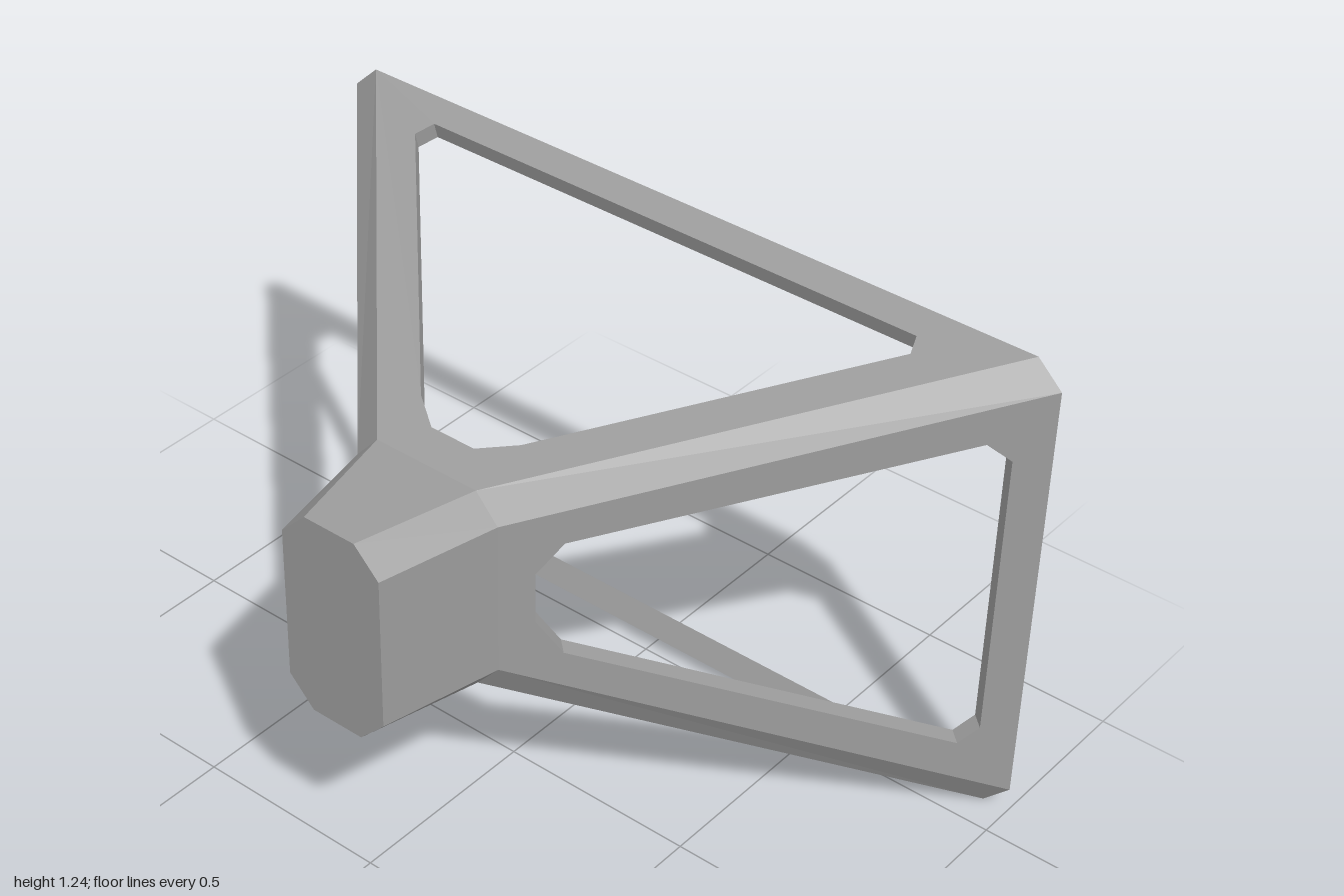
import * as THREE from 'three';

const BACK = -0.585, MID = 0.285, FRONT = 0.585;
const lerpZ = (back, mid, z) => back + (mid - back) * (z - BACK) / (MID - BACK);

// Chamfered rectangle, counter-clockwise seen from the front
const ring = (z, w, c, bottom, lo, hi, top) =>
  [[w, lo], [w, hi], [c, top], [-c, top], [-w, hi], [-w, lo], [-c, bottom], [c, bottom]]
    .map(([x, y]) => new THREE.Vector3(x, y, z));

const backRing = ring(BACK, 1, 0.935, 0, 0.066, 1.178, 1.24);
const midRing = ring(MID, 0.2, 0.14, 0.475, 0.544, 0.933, 1);
const frontRing = ring(FRONT, 0.137, 0.07, 0.475, 0.544, 0.933, 1);

function fromTriangles(points) {
  const g = new THREE.BufferGeometry().setFromPoints(points);
  g.computeVertexNormals();
  return g;
}
const quad = (a, b, c, d) => [a, b, c, a, c, d];

export function createModel() {
  const model = new THREE.Group();
  const material = new THREE.MeshStandardMaterial({
    color: 0x9c9c9c, flatShading: true, side: THREE.DoubleSide,
  });
  const add = (name, geometry, parent = model) => {
    const mesh = new THREE.Mesh(geometry, material);
    mesh.name = name;
    parent.add(mesh);
  };

  // Sloping panel with a window and an inward lip around the window
  function panel(name, outline, hole, place, flip, inward, depth) {
    const group = new THREE.Group();
    group.name = name;
    const shape = new THREE.Shape(outline.map(p => new THREE.Vector2(...p)));
    shape.holes.push(new THREE.Path(hole.map(p => new THREE.Vector2(...p))));
    const flat = new THREE.ShapeGeometry(shape).toNonIndexed();
    const pos = flat.attributes.position;
    const tris = [];
    for (let i = 0; i < pos.count; i += 3) {
      const t = [0, 1, 2].map(k => place(pos.getX(i + k), pos.getY(i + k)));
      tris.push(...(flip ? t.reverse() : t));
    }
    add(name + 'Frame', fromTriangles(tris), group);

    const offset = inward.clone().normalize().multiplyScalar(depth);
    const rim = hole.map(p => place(...p));
    const lip = rim.flatMap((p, i) => {
      const q = rim[(i + 1) % rim.length];
      const corners = [p, q, q.clone().add(offset), p.clone().add(offset)];
      return quad(...(flip ? corners.reverse() : corners));
    });
    add(name + 'WindowLip', fromTriangles(lip), group);
    model.add(group);
  }

  // Side panels, drawn in (z, y)
  const sideOutline = [[BACK, 0.066], [MID, 0.544], [MID, 0.933], [BACK, 1.178]];
  const sideHole = [[-0.52, 0.264], [-0.52, 1.008], [-0.476, 1.057], [0.18, 0.877],
    [0.226, 0.8], [0.226, 0.67], [0.18, 0.578], [-0.484, 0.223]];
  for (const s of [1, -1]) {
    panel(s > 0 ? 'leftPanel' : 'rightPanel', sideOutline, sideHole,
      (z, y) => new THREE.Vector3(s * lerpZ(1, 0.2, z), y, z), s > 0,
      new THREE.Vector3(-s * 0.87, 0, -0.8), 0.046);
  }

  // Top and bottom panels, drawn in (x, z)
  const flatOutline = [[-0.935, BACK], [0.935, BACK], [0.14, MID], [-0.14, MID]];
  const halfHole = zFront => [[0.06, zFront], [0.142, zFront - 0.058], [0.7, -0.463], [0.682, -0.51]];
  const flatHole = zFront => {
    const half = halfHole(zFront);
    return [...half, ...half.map(([x, z]) => [-x, z]).reverse()];
  };
  panel('topPanel', flatOutline, flatHole(0.2),
    (x, z) => new THREE.Vector3(x, lerpZ(1.24, 1, z), z), true,
    new THREE.Vector3(0, -0.87, -0.24), 0.042);
  panel('bottomPanel', flatOutline, flatHole(0.21),
    (x, z) => new THREE.Vector3(x, lerpZ(0, 0.475, z), z), false,
    new THREE.Vector3(0, 0.87, -0.475), 0.064);

  // Bevelled corner struts between the panels
  for (const i of [1, 3, 5, 7]) {
    const j = (i + 1) % 8;
    add('cornerStrut', fromTriangles(quad(backRing[i], backRing[j], midRing[j], midRing[i])));
  }

  // Hollow tapered neck, closed at the front
  const neck = midRing.flatMap((p, i) => {
    const j = (i + 1) % 8;
    return quad(p, midRing[j], frontRing[j], frontRing[i]);
  });
  add('neck', fromTriangles(neck));
  const cap = [];
  for (let i = 1; i < 7; i++) cap.push(frontRing[0], frontRing[i], frontRing[i + 1]);
  add('neckCap', fromTriangles(cap));

  return model;
}
